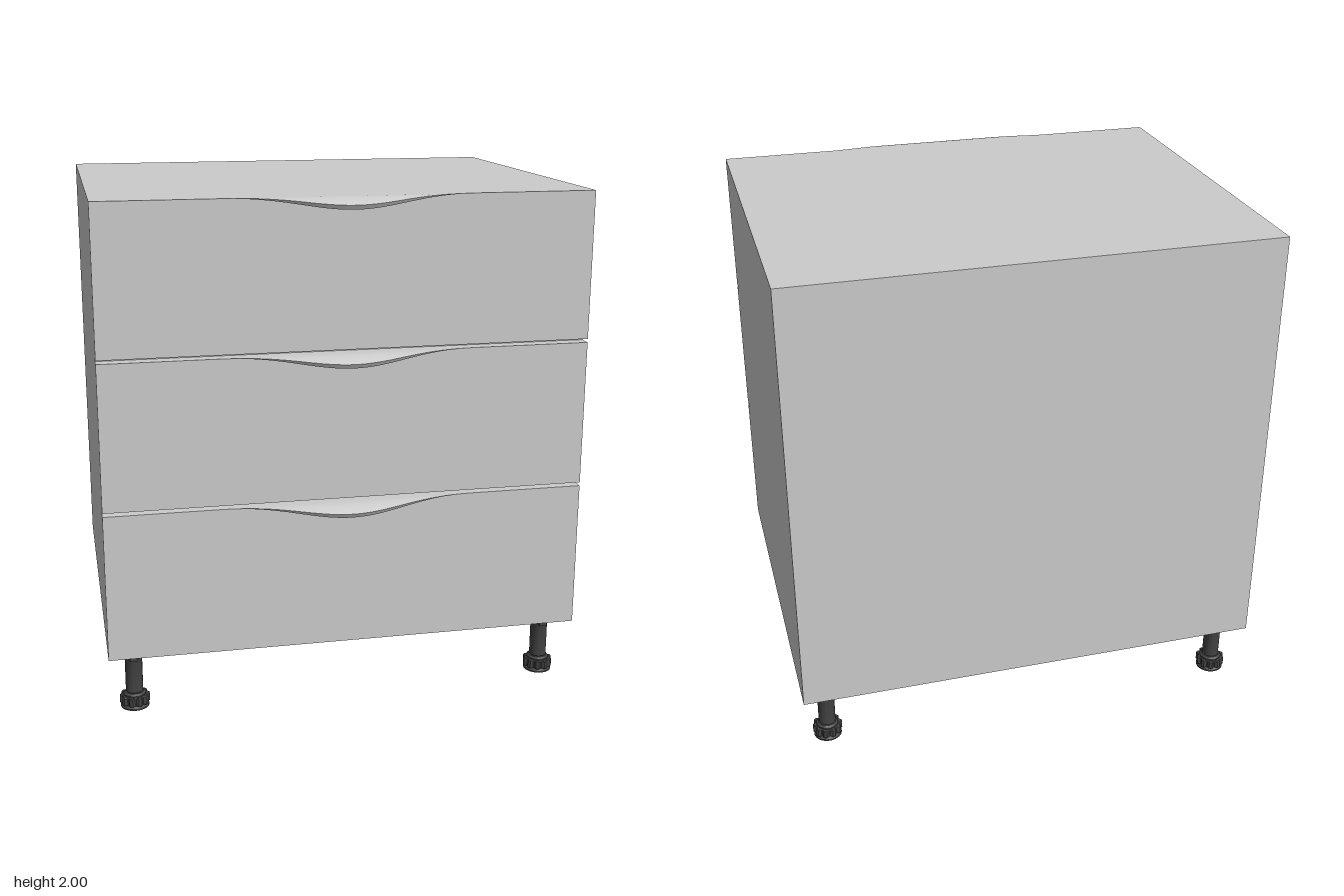
import * as THREE from 'three';
import { toCreasedNormals } from 'three/addons/utils/BufferGeometryUtils.js';

const FRONT = 0.71, BACK = -0.79, WIDTH = 1.88, BOTTOM = 0.25, TOP = 2;
const DRAWER = (TOP - BOTTOM) / 3, GAP = 0.014, GAP_DEPTH = 0.05;

const bodyMat = new THREE.MeshStandardMaterial({ color: 0xcccccc });
const handleMat = new THREE.MeshStandardMaterial({ color: 0xcccccc, side: THREE.DoubleSide });
const legMat = new THREE.MeshStandardMaterial({ color: 0x444444 });

function add(parent, name, geometry, material) {
  const mesh = new THREE.Mesh(geometry, material);
  mesh.name = name;
  parent.add(mesh);
  return mesh;
}

// Side profile with a shadow gap above each of the two lower drawers
function bodyGeometry() {
  const s = new THREE.Shape();
  s.moveTo(BACK, BOTTOM);
  s.lineTo(FRONT, BOTTOM);
  for (const n of [1, 2]) {
    const y = BOTTOM + n * DRAWER;
    s.lineTo(FRONT, y);
    s.lineTo(FRONT - GAP_DEPTH, y);
    s.lineTo(FRONT - GAP_DEPTH, y + GAP);
    s.lineTo(FRONT, y + GAP);
  }
  s.lineTo(FRONT, TOP);
  s.lineTo(BACK, TOP);
  s.closePath();
  return new THREE.ExtrudeGeometry(s, { depth: WIDTH, bevelEnabled: false })
    .translate(0, 0, -WIDTH / 2)
    .rotateY(-Math.PI / 2);
}

// Wave-shaped lip: a downward-curling section that fades out to both sides
function handleGeometry() {
  const half = 0.5, reach = 0.08, cols = 48, steps = 8;
  const row = 2 * (steps + 1);
  const positions = [], index = [];
  for (let i = 0; i <= cols; i++) {
    const x = -half + (2 * half * i) / cols;
    const s = Math.cos((Math.PI * x) / (2 * half)) ** 2;
    for (let j = 0; j <= steps; j++) {
      const t = (s * j) / steps;
      positions.push(x, -0.025 * t * t, reach * t);
    }
    for (let j = steps; j >= 0; j--) {
      const t = j / steps;
      const top = -0.025 * (s * t) ** 2;
      positions.push(x, top - s * (0.008 + 0.009 * t * t), s * t * (reach - 0.01));
    }
  }
  for (let i = 0; i < cols; i++) {
    for (let j = 0; j < row - 1; j++) {
      const a = i * row + j, b = a + row;
      index.push(a, a + 1, b, a + 1, b + 1, b);
    }
  }
  const g = new THREE.BufferGeometry();
  g.setAttribute('position', new THREE.Float32BufferAttribute(positions, 3));
  g.setIndex(index);
  return toCreasedNormals(g, 0.6);
}

function lathe(points) {
  const g = new THREE.LatheGeometry(points.map(([r, y]) => new THREE.Vector2(r, y)), 32);
  return toCreasedNormals(g, 0.5);
}

// Grip ring of the adjustable foot, with scalloped lobes
function knobGeometry() {
  const lobes = 10, n = lobes * 8, points = [];
  for (let i = 0; i < n; i++) {
    const a = (i / n) * Math.PI * 2;
    const r = 0.051 + 0.005 * Math.tanh(2.5 * Math.cos(a * lobes));
    points.push(new THREE.Vector2(r * Math.cos(a), r * Math.sin(a)));
  }
  const g = new THREE.ExtrudeGeometry(new THREE.Shape(points), {
    depth: 0.03, bevelEnabled: true, bevelSize: 0.003, bevelThickness: 0.003, bevelSegments: 1,
  });
  return toCreasedNormals(g.rotateX(-Math.PI / 2).translate(0, 0.017, 0), 0.5);
}

function createLeg() {
  const leg = new THREE.Group();
  leg.name = 'leg';
  add(leg, 'mountingFlange', lathe([
    [0.034, 0.212], [0.042, 0.212], [0.048, 0.226], [0.056, 0.236],
    [0.069, 0.24], [0.069, 0.25], [0, 0.25],
  ]), legMat);
  add(leg, 'flangeTab', new THREE.BoxGeometry(0.03, 0.035, 0.1), legMat).position.y = 0.226;
  add(leg, 'column', lathe([
    [0, 0.045], [0.03, 0.045], [0.03, 0.062], [0.034, 0.066],
    [0.034, 0.2], [0.036, 0.205], [0.036, 0.24],
  ]), legMat);
  add(leg, 'footKnob', knobGeometry(), legMat);
  add(leg, 'footCollar', lathe([
    [0, 0.045], [0.044, 0.045], [0.044, 0.055], [0.036, 0.062], [0, 0.062],
  ]), legMat);
  add(leg, 'footPad', lathe([
    [0, 0], [0.056, 0], [0.056, 0.006], [0.045, 0.016], [0, 0.016],
  ]), legMat);
  return leg;
}

export function createModel() {
  const model = new THREE.Group();
  model.name = 'drawerCabinet';
  add(model, 'cabinetBody', bodyGeometry(), bodyMat);

  // One lip at the top edge of each drawer front
  const lip = handleGeometry();
  for (const n of [1, 2, 3]) {
    add(model, 'drawerHandle', lip, handleMat).position.set(0, BOTTOM + n * DRAWER, FRONT);
  }

  // Four adjustable legs
  const leg = createLeg();
  for (const x of [-0.84, 0.84]) {
    for (const z of [0.6, -0.68]) {
      const copy = leg.clone();
      copy.position.set(x, 0, z);
      model.add(copy);
    }
  }
  return model;
}
